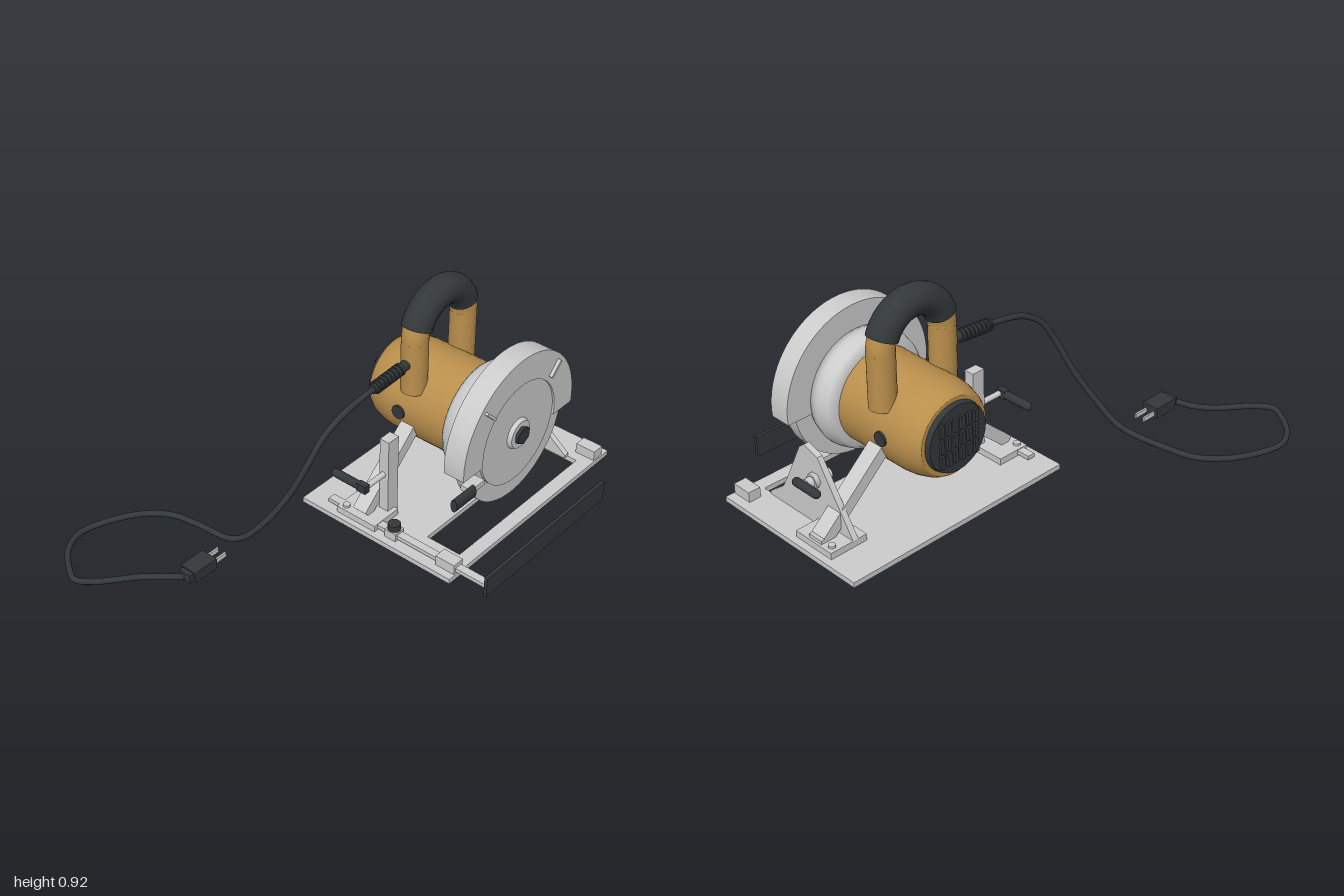
import * as THREE from 'three';

const grey = new THREE.MeshStandardMaterial({ color: 0xcccccc });
const brown = new THREE.MeshStandardMaterial({ color: 0xba8f4c });
const black = new THREE.MeshStandardMaterial({ color: 0x33383a });
const CX = 0.465, CY = 0.38; // shared axis of motor and blade
const V = (x, y, z) => new THREE.Vector3(x, y, z);

export function createModel() {
  const model = new THREE.Group();

  const add = (name, geometry, material) => {
    const mesh = new THREE.Mesh(geometry, material);
    mesh.name = name;
    model.add(mesh);
    return mesh;
  };
  // box given by its limits on each axis
  const box = (name, material, x0, x1, y0, y1, z0, z1) => {
    const mesh = add(name, new THREE.BoxGeometry(x1 - x0, y1 - y0, z1 - z0), material);
    mesh.position.set((x0 + x1) / 2, (y0 + y1) / 2, (z0 + z1) / 2);
    return mesh;
  };
  // cylinder between two points
  const rod = (name, material, a, b, r, sides = 20, r2 = r) => {
    const dir = b.clone().sub(a);
    const mesh = add(name, new THREE.CylinderGeometry(r2, r, dir.length(), sides), material);
    mesh.position.copy(a).add(b).multiplyScalar(0.5);
    mesh.quaternion.setFromUnitVectors(V(0, 1, 0), dir.normalize());
    return mesh;
  };
  // rectangular bar between two points in the xy plane
  const bar = (name, material, x0, y0, x1, y1, thick, z, depth) => {
    const len = Math.hypot(x1 - x0, y1 - y0);
    const mesh = add(name, new THREE.BoxGeometry(len, thick, depth), material);
    mesh.position.set((x0 + x1) / 2, (y0 + y1) / 2, z);
    mesh.rotation.z = Math.atan2(y1 - y0, x1 - x0);
    return mesh;
  };
  const polygon = pts => new THREE.Shape(pts.map(p => new THREE.Vector2(...p)));
  const extrude = (shape, depth) =>
    new THREE.ExtrudeGeometry(shape, { depth, bevelEnabled: false, curveSegments: 48 });
  // turned part on the motor axis; profile is [radius, z] from back to front
  const turned = (name, material, profile) => {
    for (let i = 0; i < profile.length - 1; i++) {
      const flat = profile[i][1] === profile[i + 1][1];
      if (flat && profile[i][0] === 0) profile[i][0] = 0.0001;
    }
    const mesh = add(name, new THREE.LatheGeometry(profile.map(p => new THREE.Vector2(...p)), 48), material);
    mesh.rotation.x = Math.PI / 2;
    mesh.position.set(CX, CY, 0);
    return mesh;
  };

  // Base plate with blade slot
  const plate = polygon([[-0.06, 0.19], [1, 0.19], [1, -0.56], [-0.06, -0.56]]);
  plate.holes.push(new THREE.Path([[0.08, -0.34], [0.08, -0.5], [0.86, -0.5], [0.86, -0.34]]
    .map(p => new THREE.Vector2(...p))));
  add('basePlate', extrude(plate, 0.022), grey).rotation.x = -Math.PI / 2;

  // Motor body, rear vent cap and gear housing
  turned('motorBody', brown, [[0, -0.15], [0.16, -0.15], [0.163, -0.15], [0.178, -0.125], [0.192, -0.075],
    [0.197, -0.03], [0.197, 0.28]]);
  rod('rearCap', black, V(CX, CY, -0.14), V(CX, CY, -0.172), 0.147, 32, 0.14);
  for (let row = -1; row <= 1; row++)
    for (let col = -2.5; col <= 2.5; col++) {
      const x = CX + col * 0.034, y = CY + row * 0.066;
      box('ventRib', black, x - 0.009, x + 0.009, y - 0.027, y + 0.027, -0.184, -0.165);
    }
  turned('gearHousing', grey, [[0.19, 0.265], [0.222, 0.267], [0.236, 0.285], [0.247, 0.325], [0.248, 0.345],
    [0.238, 0.383], [0.19, 0.395]]);
  for (const s of [-1, 1])
    rod('brushCap', black, V(CX + s * 0.18, 0.375, 0.03), V(CX + s * 0.205, 0.375, 0.03), 0.03);

  // Upper guard: an arched cover, open below, with short ribs
  const low = Math.asin(-0.035 / 0.35), lowIn = Math.asin(-0.035 / 0.23);
  const arch = new THREE.Shape();
  arch.absarc(0, 0, 0.35, low, Math.PI - low, false);
  arch.absarc(0, 0, 0.23, Math.PI - lowIn, lowIn, true);
  arch.closePath();
  add('upperGuard', extrude(arch, 0.095), grey).position.set(CX, CY - 0.005, 0.38);
  for (const s of [-1, 1])
    bar('guardRib', grey, CX + s * 0.18, CY + 0.17, CX + s * 0.235, CY + 0.225, 0.012, 0.478, 0.022);
  rod('innerGuard', grey, V(CX, CY, 0.38), V(CX, CY, 0.466), 0.23, 64);
  rod('lowerGuard', grey, V(CX, CY, 0.395), V(CX, CY, 0.455), 0.305, 64);

  // Blade hub and bolt
  rod('hubWasher', grey, V(CX, CY - 0.005, 0.46), V(CX, CY - 0.005, 0.483), 0.07, 32, 0.06);
  rod('bladeBolt', black, V(CX, CY - 0.005, 0.47), V(CX, CY - 0.005, 0.498), 0.04, 6);

  // Lower guard lever
  box('guardLeverArm', grey, 0.125, 0.21, 0.292, 0.315, 0.455, 0.505);
  rod('guardLeverGrip', black, V(0.02, 0.304, 0.505), V(0.14, 0.304, 0.505), 0.03, 16).scale.x = 1;
  model.children.at(-1).scale.z = 0.5;

  // Arched handle: two posts, a bend and a soft grip
  const HZ = 0.065, HY = 0.71, HR = 0.15;
  for (const s of [-1, 1])
    rod('handlePost', brown, V(CX + s * HR, 0.48, HZ), V(CX + s * HR, HY, HZ), 0.055, 24);
  add('handleBend', new THREE.TorusGeometry(HR, 0.055, 20, 40, Math.PI), brown).position.set(CX, HY, HZ);
  const from = 0.36, sweep = Math.PI - 2 * from;
  const grip = add('handleGrip', new THREE.TorusGeometry(HR, 0.063, 20, 40, sweep), black);
  grip.position.set(CX, HY, HZ);
  grip.rotation.z = from;
  for (const a of [from, Math.PI - from]) {
    const c = V(CX + HR * Math.cos(a), HY + HR * Math.sin(a), HZ);
    const t = V(-Math.sin(a), Math.cos(a), 0).multiplyScalar(0.002);
    rod('gripEnd', black, c.clone().sub(t), c.clone().add(t), 0.063, 20);
  }

  // Bevel bracket on the blade side, with its clamp
  const bracket = polygon([[-0.455, 0.022], [-0.455, 0.035], [-0.37, 0.1], [-0.335, 0.165], [-0.255, 0.33],
    [-0.225, 0.355], [-0.15, 0.33], [-0.135, 0.305], [0.03, 0.05], [0.03, 0.022]]);
  const side = add('bevelBracket', extrude(bracket, 0.025), grey);
  side.rotation.y = Math.PI / 2;
  side.position.x = 0.84;
  rod('bevelClampRod', grey, V(0.8, 0.225, 0.17), V(0.91, 0.225, 0.17), 0.022);
  rod('bevelClampNut', grey, V(0.865, 0.225, 0.17), V(0.885, 0.225, 0.17), 0.032, 6);
  // clamp lever with rounded ends
  const lever = (x, y, z) => {
    const mesh = add('clampLever', new THREE.CapsuleGeometry(0.018, 0.112, 6, 14), black);
    mesh.rotation.x = Math.PI / 2;
    mesh.position.set(x, y, z);
  };
  lever(0.922, 0.225, 0.152);

  // Pivot feet and diagonal braces on both sides
  box('pivotFoot', grey, 0.8, 0.97, 0.02, 0.05, -0.03, 0.17);
  box('pivotFoot', grey, -0.035, 0.11, 0.02, 0.05, -0.03, 0.165);
  box('pivotBlock', grey, 0.9, 0.96, 0.04, 0.065, 0.035, 0.105);
  bar('brace', grey, 0.93, 0.05, 0.62, 0.33, 0.05, 0.07, 0.07);
  bar('brace', grey, 0.0, 0.05, 0.31, 0.33, 0.05, 0.07, 0.065);
  for (const x of [0.94, -0.01])
    rod('footScrew', grey, V(x, 0.04, 0.0), V(x, 0.06, 0.0), 0.015, 12);

  // Depth post with its clamp
  box('depthPost', grey, 0.07, 0.13, 0.02, 0.39, 0.1, 0.145);
  rod('depthClampRod', grey, V(-0.04, 0.225, 0.12), V(0.075, 0.225, 0.12), 0.012);
  lever(-0.044, 0.225, 0.03);
  box('depthClampHub', black, -0.058, -0.03, 0.207, 0.243, 0.09, 0.135);

  // Rip fence, its rod, holders and locking knob
  box('fenceRod', grey, -0.017, 0.017, 0.03, 0.047, -0.09, 0.71);
  box('fencePlate', black, -0.035, 0.735, 0.01, 0.1, 0.704, 0.718);
  box('fenceHolder', grey, -0.027, 0.027, 0.02, 0.066, 0.465, 0.555);
  box('fenceHolder', grey, 0.905, 0.96, 0.02, 0.066, 0.465, 0.555);
  box('rodGuide', grey, -0.027, 0.027, 0.02, 0.058, 0.21, 0.265);
  rod('rodKnob', black, V(0, 0.055, 0.237), V(0, 0.085, 0.237), 0.026, 16);

  // Ribbed strain relief
  const s0 = V(0.3, 0.622, 0.065), s1 = V(0.07, 0.606, 0.062);
  rod('strainRelief', black, s0, s1, 0.021);
  for (let i = 0; i < 8; i++) {
    const a = s0.clone().lerp(s1, 0.3 + i * 0.088);
    rod('strainRib', black, a, a.clone().lerp(s1, 0.06 / (0.75 - i * 0.085)), 0.027);
  }

  // Power cord, falling to the floor and looping round
  const cord = new THREE.CatmullRomCurve3([
    V(0.1, 0.608, 0.063), V(0, 0.598, 0.06), V(-0.1, 0.575, 0.055), V(-0.19, 0.515, 0.04), V(-0.25, 0.41, 0.015),
    V(-0.3, 0.28, -0.03), V(-0.36, 0.145, -0.1), V(-0.405, 0.045, -0.18), V(-0.43, 0.016, -0.24),
    V(-0.45, 0.014, -0.4), V(-0.478, 0.014, -0.52), V(-0.55, 0.014, -0.61), V(-0.67, 0.014, -0.68),
    V(-0.79, 0.014, -0.71), V(-0.88, 0.014, -0.675), V(-0.955, 0.014, -0.59), V(-0.988, 0.014, -0.52),
    V(-0.94, 0.014, -0.45), V(-0.81, 0.014, -0.34), V(-0.76, 0.018, -0.275), V(-0.715, 0.033, -0.2)]);
  add('powerCord', new THREE.TubeGeometry(cord, 160, 0.0125, 10), black);

  // Plug with two flat prongs and a round pin
  box('plugBody', black, -0.7, -0.585, 0.014, 0.062, -0.235, -0.158);
  box('plugBack', black, -0.72, -0.695, 0.02, 0.056, -0.225, -0.168);
  for (const z of [-0.217, -0.176])
    box('plugProng', grey, -0.59, -0.52, 0.022, 0.042, z - 0.004, z + 0.004);

  return model;
}
